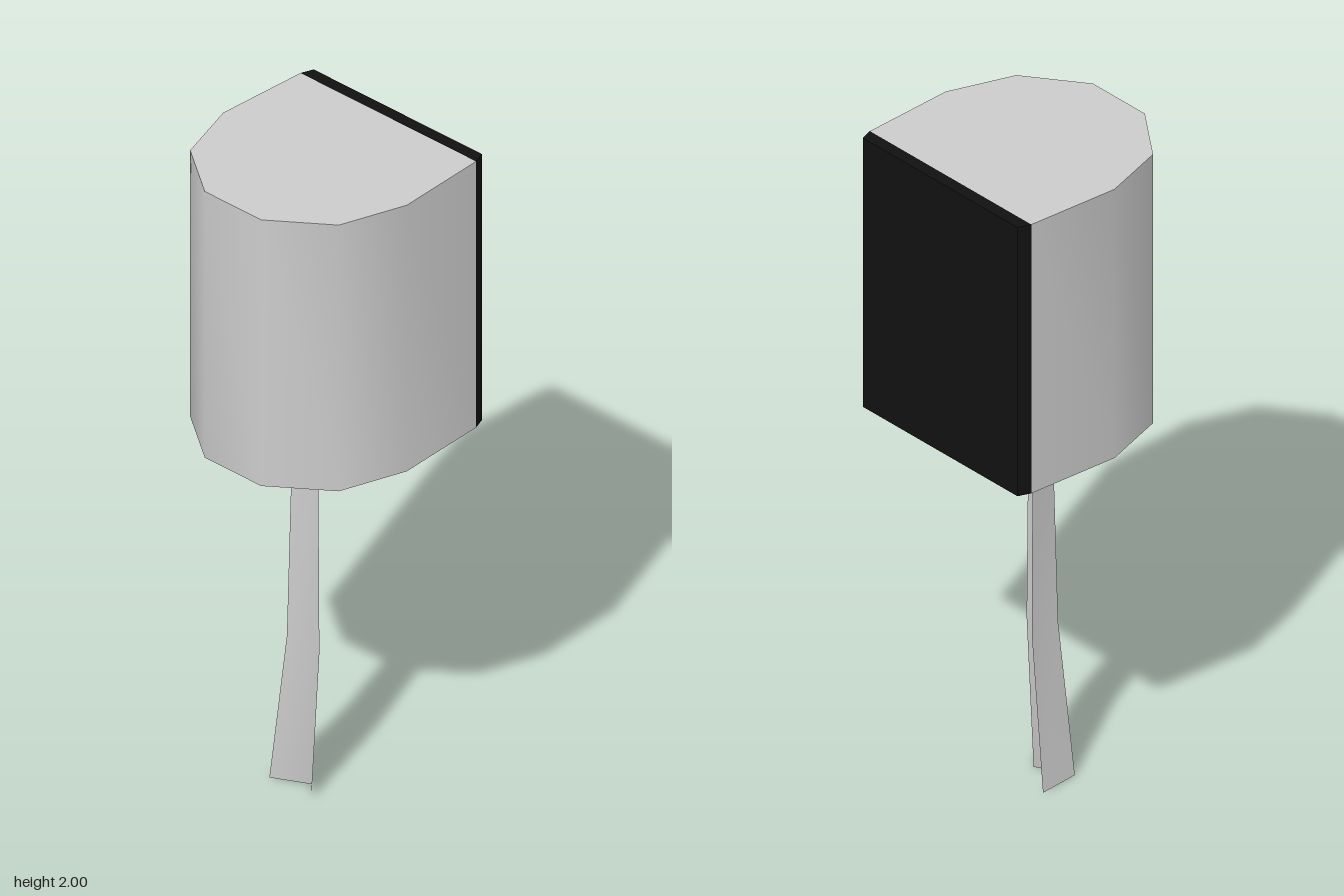
import * as THREE from 'three';
import { toCreasedNormals } from 'three/addons/utils/BufferGeometryUtils.js';

const HEAD_BOTTOM = 1.145, HEAD_TOP = 2;

// Upright prism from an outline of [x, z] points
function prism(outline) {
  const shape = new THREE.Shape(outline.map(([x, z]) => new THREE.Vector2(x, -z)));
  const geo = new THREE.ExtrudeGeometry(shape, { depth: HEAD_TOP - HEAD_BOTTOM, bevelEnabled: false });
  return geo.rotateX(-Math.PI / 2).translate(0, HEAD_BOTTOM, 0);
}

// Open sheet through rows of [x, z] sections at given heights, top to bottom
function sheet(rows) {
  const positions = [], index = [], n = rows[0].points.length;
  rows.forEach(({ y, points }) => points.forEach(([x, z]) => positions.push(x, y, z)));
  for (let r = 0; r < rows.length - 1; r++) {
    for (let i = 0; i < n - 1; i++) {
      const a = r * n + i, b = a + n;
      index.push(a, b, a + 1, b, b + 1, a + 1);
    }
  }
  const geo = new THREE.BufferGeometry();
  geo.setAttribute('position', new THREE.Float32BufferAttribute(positions, 3));
  geo.setIndex(index);
  return toCreasedNormals(geo, 1.4);
}

export function createModel() {
  const model = new THREE.Group();
  const grey = new THREE.MeshStandardMaterial({ color: 0xcccccc });
  const thin = new THREE.MeshStandardMaterial({ color: 0xcccccc, side: THREE.DoubleSide });
  const black = new THREE.MeshStandardMaterial({ color: 0x111111 });

  const add = (name, geo, mat) => {
    const mesh = new THREE.Mesh(geo, mat);
    mesh.name = name;
    model.add(mesh);
  };

  // Head: ten-sided front half with nearly straight sides running back
  const half = [[0.105, 0.325], [0.277, 0.2], [0.342, 0], [0.327, -0.29]];
  const mirrored = half.map(([x, z]) => [-x, z]).reverse();
  add('head', toCreasedNormals(prism([...half, ...mirrored]), 0.8), grey);

  // Dark plate closing the back, with bevelled sides
  add('backPlate', prism([[-0.327, -0.29], [0.327, -0.29], [0.313, -0.328], [-0.313, -0.328]]), black);

  // Tapered neck under the head
  const neck = new THREE.CylinderGeometry(0.148, 0.095, HEAD_BOTTOM - 1, 10, 1, false, Math.PI / 2);
  add('neck', neck.translate(0, (HEAD_BOTTOM + 1) / 2, 0), grey);

  // Folded, bent stem
  add('stem', sheet([
    { y: 1, points: [[-0.06, -0.045], [-0.05, 0.04], [0.018, 0.01], [0.05, 0.04]] },
    { y: 0.47, points: [[-0.06, -0.047], [-0.053, 0.055], [0.028, 0.013], [0.068, 0.055]] },
    { y: 0, points: [[-0.115, -0.056], [-0.104, 0.07], [0.003, 0.016], [0.052, 0.07]] },
  ]), thin);

  return model;
}
